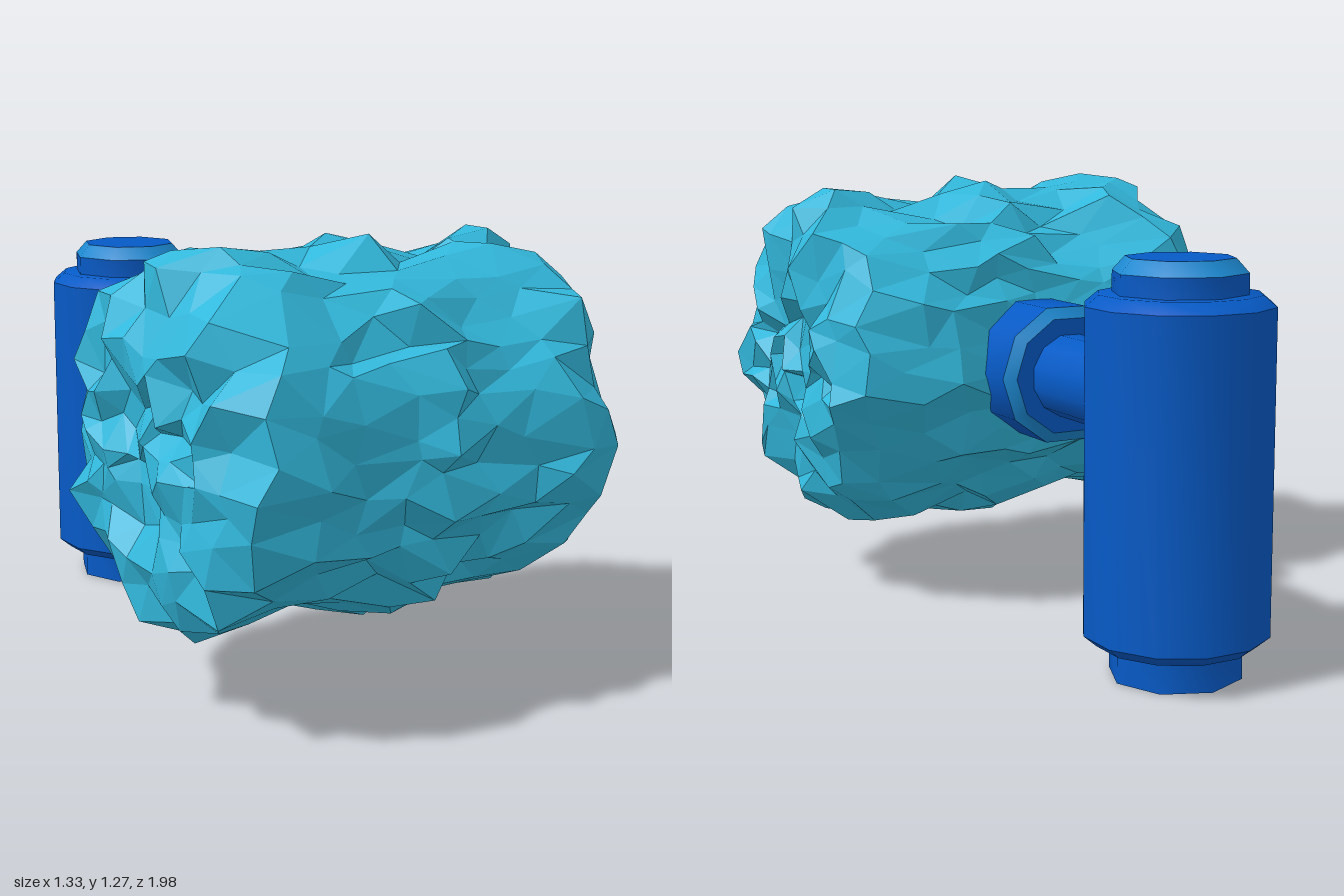
import * as THREE from 'three';
import { toCreasedNormals } from 'three/addons/utils/BufferGeometryUtils.js';

const rockTeal = new THREE.MeshStandardMaterial({ color: 0x32b8dc });
rockTeal.name = 'rock teal';
rockTeal.flatShading = true;
const handleBlue = new THREE.MeshStandardMaterial({ color: 0x065ac6 });
handleBlue.name = 'handle blue';
const trimBlue = new THREE.MeshStandardMaterial({ color: 0x1c88d0 });
trimBlue.name = 'trim blue';

// Faceted solid of revolution; [apothem, height] pairs run from bottom to top
function turned(name, profile, sides, material, turn = Math.PI / sides) {
  const k = 1 / Math.cos(Math.PI / sides);
  const points = profile.map(([r, y]) => new THREE.Vector2(r * k, y));
  const geometry = new THREE.LatheGeometry(points, sides, turn);
  const mesh = new THREE.Mesh(toCreasedNormals(geometry, 0.79), material);
  mesh.name = name;
  return mesh;
}

// Seeded value in -1..1 for a corner of the rock
function jitter(corner, k) {
  const [x, y, z] = corner.toArray().map((v) => Math.round(v * 500));
  const s = Math.sin(x * 1.271 + y * 3.117 + z * 0.747 + k * 5.3) * 43758.5453;
  return 2 * (s - Math.floor(s)) - 1;
}

// Rock radius toward top, front, bottom and back at stations along x
const stations = [-0.47, -0.32, -0.17, -0.01, 0.16, 0.3, 0.46];
const radii = {
  top: [0.54, 0.52, 0.47, 0.54, 0.48, 0.475, 0.51],
  front: [0.53, 0.485, 0.475, 0.53, 0.48, 0.49, 0.515],
  bottom: [0.52, 0.475, 0.47, 0.55, 0.5, 0.52, 0.495],
  back: [0.53, 0.52, 0.5, 0.48, 0.49, 0.54, 0.505],
};

function radiusAt(x, up, forward) {
  const last = stations.length - 1;
  const clamped = THREE.MathUtils.clamp(x, stations[0], stations[last]);
  let i = 0;
  while (i < last - 1 && clamped > stations[i + 1]) i++;
  const t = (clamped - stations[i]) / (stations[i + 1] - stations[i]);
  const along = (row) => THREE.MathUtils.lerp(row[i], row[i + 1], t);
  const vertical = along(up > 0 ? radii.top : radii.bottom);
  const level = along(forward > 0 ? radii.front : radii.back);
  return vertical * up * up + level * forward * forward - 0.012;
}

// Rough barrel lying along x: a faceted ball pushed out to a rounded cylinder
function rockGeometry() {
  const geometry = new THREE.IcosahedronGeometry(1, 6);
  const position = geometry.attributes.position;
  const corner = new THREE.Vector3();
  const halfLength = 0.622, radius = 0.5, power = 8;
  for (let i = 0; i < position.count; i++) {
    corner.fromBufferAttribute(position, i);
    // Crowd the facets toward the two ends
    const lengthwise = corner.x * 1.7;
    const rho = Math.max(Math.hypot(corner.y, corner.z), 1e-6);
    const reach = (Math.abs(lengthwise) / halfLength) ** power + (rho / radius) ** power;
    const push = reach ** (-1 / power);
    const x = lengthwise * push;
    const up = corner.y / rho, forward = corner.z / rho;
    const r = (rho * push * radiusAt(x, up, forward)) / radius;
    position.setXYZ(
      i,
      x + 0.042 * jitter(corner, 1),
      0.735 + r * up + 0.032 * jitter(corner, 2),
      0.46 + r * forward + 0.032 * jitter(corner, 3),
    );
  }
  geometry.computeVertexNormals();
  return geometry;
}

export function createModel() {
  const model = new THREE.Group();
  model.name = 'rockHammer';

  const head = new THREE.Mesh(rockGeometry(), rockTeal);
  head.name = 'rockHead';
  model.add(head);

  // Upright grip with a hollow foot and a trimmed cap
  const grip = new THREE.Group();
  grip.name = 'grip';
  grip.position.set(0.008, 0, -0.755);
  grip.add(
    turned('gripBarrel', [[0, 0.09], [0.21, 0.09], [0.245, 0.12], [0.245, 0.99], [0.21, 1.02], [0, 1.02]], 12, handleBlue),
    turned('gripFoot', [[0, 0.07], [0.16, 0.07], [0.16, 0], [0.167, 0], [0.167, 0.1]], 8, handleBlue, 0),
    turned('gripCap', [[0.167, 1.01], [0.167, 1.075]], 8, handleBlue, 0),
    turned('capTrim', [[0.167, 1.075], [0.135, 1.113]], 8, trimBlue, 0),
    turned('capTop', [[0.135, 1.113], [0, 1.113]], 8, handleBlue, 0),
  );
  model.add(grip);

  // Arm from the head back to the grip
  const arm = new THREE.Group();
  arm.name = 'arm';
  arm.position.set(0.008, 0.725, 0);
  arm.rotation.x = -Math.PI / 2;
  arm.add(
    turned('armRod', [[0.118, 0.1], [0.118, 0.6]], 12, handleBlue),
    turned('collar', [[0, -0.1], [0.196, -0.1], [0.196, 0.163]], 10, handleBlue),
    turned('collarTrim', [[0.196, 0.163], [0.165, 0.187]], 10, trimBlue),
    turned('collarFace', [[0.165, 0.187], [0, 0.187]], 10, handleBlue),
  );
  model.add(arm);

  return model;
}
